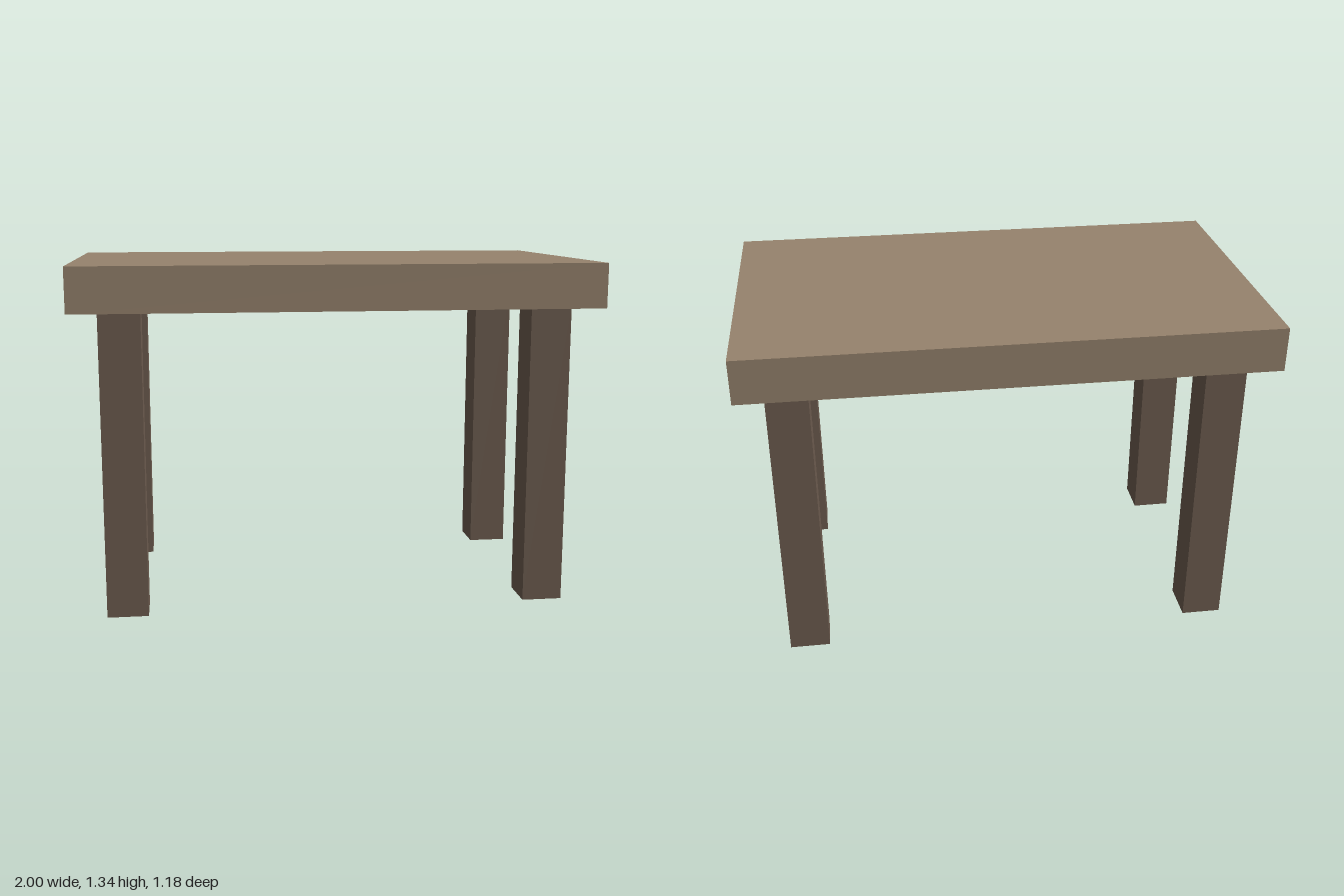
import * as THREE from 'three';

const LEG_HEIGHT = 1.17;
const LEG_SIZE = 0.157;
const TOP_THICKNESS = 0.17;

export function createModel() {
  const table = new THREE.Group();
  table.name = 'table';

  const topMaterial = new THREE.MeshStandardMaterial({ color: 0x96836d });
  const legMaterial = new THREE.MeshStandardMaterial({ color: 0x6e5d50 });

  // Thick rectangular slab
  const top = new THREE.Mesh(new THREE.BoxGeometry(2, TOP_THICKNESS, 1.185), topMaterial);
  top.name = 'tableTop';
  top.position.y = LEG_HEIGHT + TOP_THICKNESS / 2;
  table.add(top);

  // Four square legs, inset from the corners
  const legGeometry = new THREE.BoxGeometry(LEG_SIZE, LEG_HEIGHT, LEG_SIZE);
  for (const [sideName, x] of [['Left', 1], ['Right', -1]]) {
    for (const [endName, z] of [['front', 1], ['back', -1]]) {
      const leg = new THREE.Mesh(legGeometry, legMaterial);
      leg.name = `${endName}${sideName}Leg`;
      leg.position.set(x * 0.817, LEG_HEIGHT / 2, z * 0.418);
      table.add(leg);
    }
  }

  return table;
}
